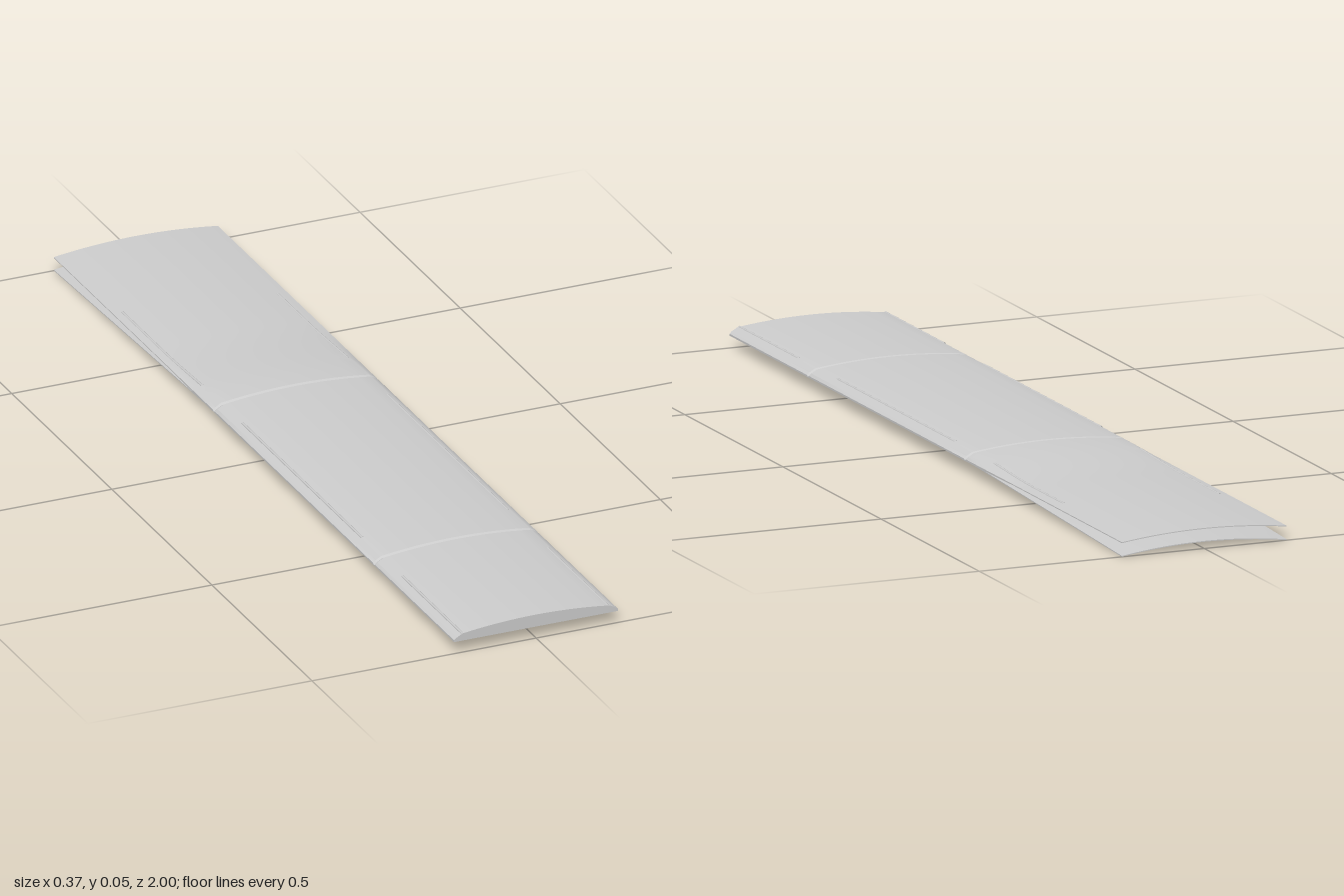
import * as THREE from 'three';
import { toCreasedNormals } from 'three/addons/utils/BufferGeometryUtils.js';

const W = 0.183;
const U = [1, 0.97, 0.9];
for (let i = 7; i >= -7; i--) U.push(i / 8);
U.push(-0.9, -0.97, -1);

const lerp = THREE.MathUtils.lerp;
const ramp = (z, from, to) => THREE.MathUtils.smoothstep(-z, -from, -to);
const linear = (z, from, to) => THREE.MathUtils.clamp((from - z) / (from - to), 0, 1);

// Height of the crowned top: bevelled edges in front, a plain arc at the rear lip
function topY(u, z) {
  const a = Math.abs(u);
  const front = a <= 0.9 ? 0.053 - 0.0136 * a * a : lerp(0.042, 0.03, ((a - 0.9) / 0.1) ** 1.4);
  const rear = 0.043 - 0.0125 * a * a;
  const groove = [0.6, -0.2].some((g) => Math.abs(z - g) < 0.002) ? 0.003 : 0;
  return lerp(front, rear, ramp(z, -0.2, -0.5)) - groove;
}
// Underside: flat in front, then a thin shell under the rear lip
const coreY = (u, z) => lerp(0.026, topY(u, z) - 0.002, linear(z, -0.3, -0.45));
// Lower lip peels downwards and bows into an arc
const lipY = (u, z) => lerp(0.026, 0.014 - 0.014 * u * u, linear(z, -0.25, -1));
const lipTopY = (u, z) => lipY(u, z) + 0.002;

// Closed loft between a top and a bottom height rule, running from front to back
function loft(top, bottom, stations) {
  const n = U.length, pos = [], idx = [];
  for (const z of stations) {
    for (const u of U) pos.push(u * W, top(u, z), z);
    for (const u of [...U].reverse()) pos.push(u * W, bottom(u, z), z);
  }
  const m = 2 * n;
  for (let i = 0; i < stations.length - 1; i++) {
    for (let j = 0; j < m; j++) {
      const a = i * m + j, b = i * m + ((j + 1) % m), c = b + m, d = a + m;
      idx.push(a, d, c, a, c, b);
    }
  }
  const last = (stations.length - 1) * m;
  for (let j = 0; j < n - 1; j++) {
    const a = j, b = j + 1, c = m - 2 - j, d = m - 1 - j;
    idx.push(a, b, c, a, c, d);
    idx.push(last + a, last + c, last + b, last + a, last + d, last + c);
  }
  const g = new THREE.BufferGeometry();
  g.setAttribute('position', new THREE.Float32BufferAttribute(pos, 3));
  g.setIndex(idx);
  return toCreasedNormals(g, 0.45);
}

export function createModel() {
  const group = new THREE.Group();
  const material = new THREE.MeshStandardMaterial({ color: 0xcccccc, side: THREE.DoubleSide });
  const add = (name, geometry) => {
    const mesh = new THREE.Mesh(geometry, material);
    mesh.name = name;
    group.add(mesh);
    return mesh;
  };

  // Main plank with two cross grooves and the thin upper rear lip
  const stations = [1, 0.8, 0.605, 0.6, 0.595, 0.4, 0.2, 0, -0.195, -0.2, -0.205];
  for (let z = -0.25; z > -0.6; z -= 0.025) stations.push(z);
  stations.push(-0.7, -0.85, -1);
  add('upperPanel', loft(topY, coreY, stations));

  // Lower rear lip
  add('lowerLip', loft(lipTopY, lipY, [-0.25, -0.3, -0.4, -0.5, -0.6, -0.7, -0.8, -0.9, -1]));

  // Slim rails along both edges, following the top surface
  for (const x of [-0.164, 0.16]) {
    for (const [z0, z1] of [[1, 0.7], [0.5, -0.1], [-0.3, x < 0 ? -0.7 : -0.65]]) {
      const points = [];
      for (let i = 0; i <= 8; i++) {
        const z = lerp(z0, z1, i / 8);
        points.push(new THREE.Vector3(x, topY(x / W, z) - 0.001, z));
      }
      add('edgeRail', new THREE.TubeGeometry(new THREE.CatmullRomCurve3(points), 16, 0.003, 8));
    }
  }
  return group;
}
